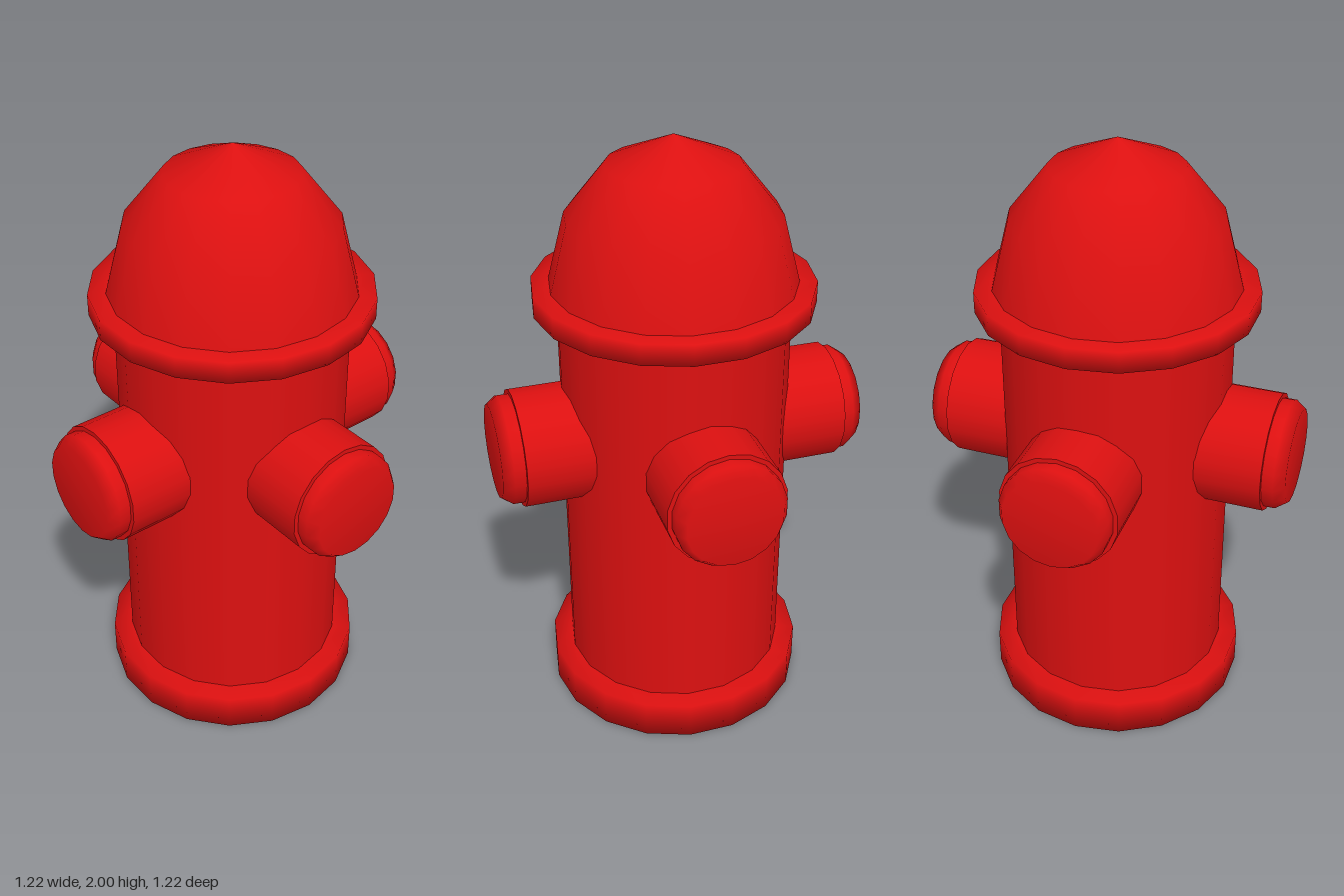
import * as THREE from 'three';

const SIDES = 18;

export function createModel() {
  const model = new THREE.Group();
  model.name = 'fireHydrant';
  const red = new THREE.MeshStandardMaterial({ color: 0xdc1010 });
  red.name = 'hydrant red';

  // Turned part; profile is [radius, height] from bottom to top
  const turned = (name, profile, parent = model) => {
    const points = profile.map(([r, y]) => new THREE.Vector2(r, y));
    const mesh = new THREE.Mesh(new THREE.LatheGeometry(points, SIDES), red);
    mesh.name = name;
    parent.add(mesh);
    return mesh;
  };

  // Base, barrel, flange and bonnet
  turned('base', [[0, 0], [0.442, 0], [0.442, 0.13], [0.36, 0.13]]);
  turned('barrel', [[0.376, 0.12], [0.376, 1.47]]);
  turned('flange', [[0.36, 1.46], [0.453, 1.46], [0.453, 1.53], [0.38, 1.53]]);
  turned('bonnet', [[0.398, 1.52], [0.396, 1.53], [0.339, 1.75], [0.211, 1.91], [0, 2]]);

  // Four outlets around the barrel, each a short pipe with a bevelled cap
  ['front', 'left', 'back', 'right'].forEach((side, i) => {
    const outlet = new THREE.Group();
    outlet.name = side + 'Outlet';
    turned('pipe', [[0.195, 0.25], [0.195, 0.54]], outlet);
    turned('pipeEnd', [[0.195, 0.54], [0, 0.54]], outlet);
    turned('cap', [[0.18, 0.535], [0.18, 0.577], [0.155, 0.612], [0, 0.612]], outlet);
    outlet.rotation.set(Math.PI / 2, i * Math.PI / 2, 0, 'YXZ');
    outlet.position.y = 1.005;
    model.add(outlet);
  });

  return model;
}
